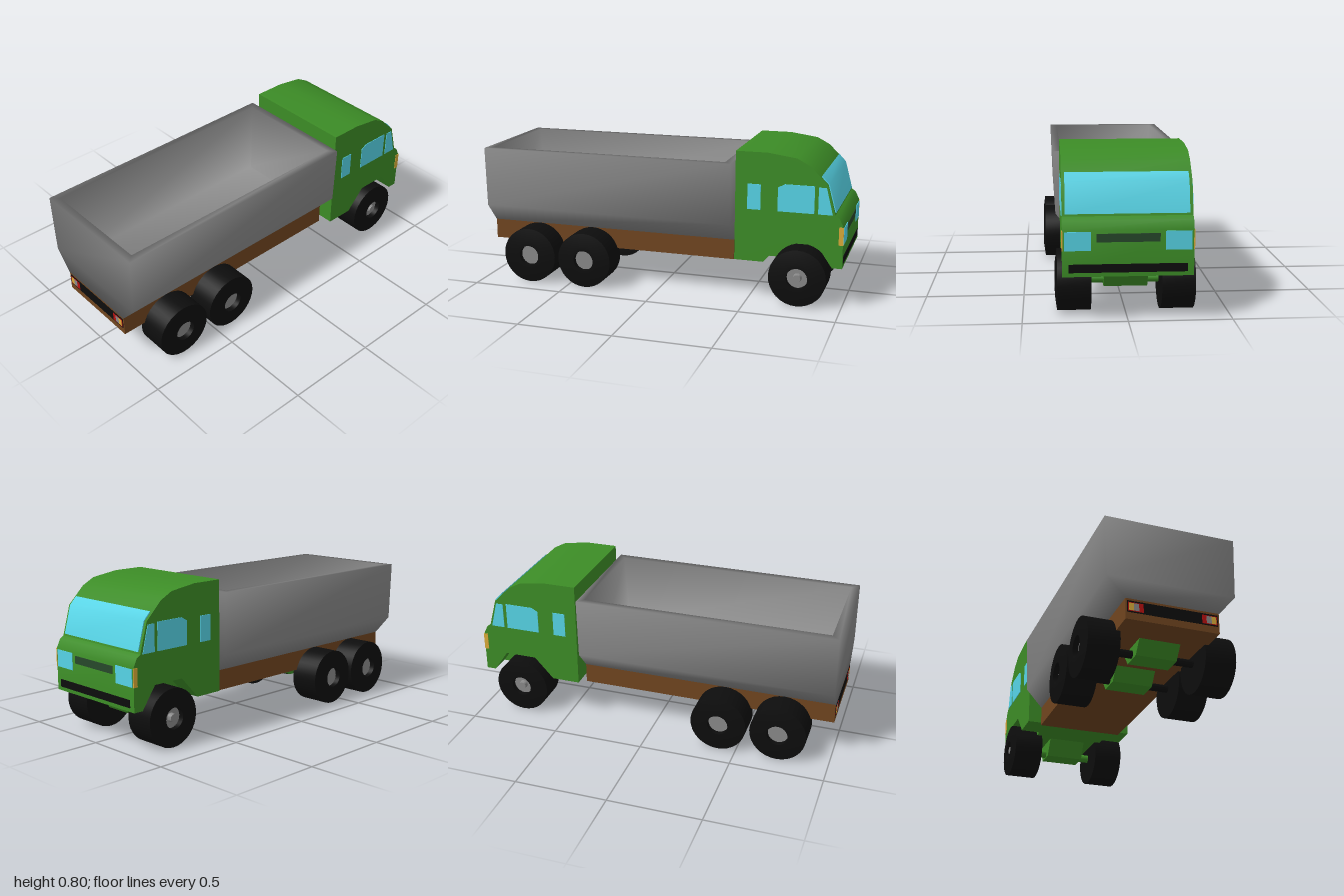
import * as THREE from 'three';
import { toCreasedNormals } from 'three/addons/utils/BufferGeometryUtils.js';

const material = (name, color) => Object.assign(new THREE.MeshStandardMaterial({ color }), { name });
const green = material('green paint', 0x3c8c26);
const grey = material('grey metal', 0x888888);
const brown = material('brown chassis', 0x70451f);
const black = material('black rubber', 0x0d0d0d);
const glass = material('cyan glass', 0x56d4e6);
const red = material('red lamp', 0xb81010);
const amber = material('amber lamp', 0xd8aa38);
const grilleGreen = material('dark grille', 0x27482a);

export function createModel() {
  const truck = new THREE.Group();
  truck.name = 'truck';

  const add = (name, geometry, mat, parent = truck) => {
    const mesh = new THREE.Mesh(geometry, mat);
    mesh.name = name;
    parent.add(mesh);
    return mesh;
  };
  // Box given by its limits
  const box = (name, mat, x0, x1, y0, y1, z0, z1) =>
    add(name, new THREE.BoxGeometry(x1 - x0, y1 - y0, z1 - z0), mat)
      .position.set((x0 + x1) / 2, (y0 + y1) / 2, (z0 + z1) / 2);
  // Side profile of [distance towards the nose, height], extruded across x
  const across = (name, mat, points, x0, x1) => {
    const shape = new THREE.Shape(points.map(p => new THREE.Vector2(...p)));
    const g = new THREE.ExtrudeGeometry(shape, { depth: x1 - x0, bevelEnabled: false });
    g.translate(0, 0, x0).rotateY(Math.PI / 2);
    return add(name, toCreasedNormals(g, 0.7), mat);
  };

  // Cab with wheel arches, and the core between the arches
  across('cab', green, [
    [0.43, 0.22], [0.585, 0.22], [0.69, 0.335], [0.865, 0.335], [0.945, 0.22], [0.997, 0.22],
    [0.997, 0.44], [0.975, 0.485], [0.953, 0.50], [0.91, 0.655], [0.82, 0.745], [0.75, 0.782],
    [0.60, 0.803], [0.43, 0.803],
  ], -0.31, 0.31);
  across('cabCore', green, [[0.58, 0.221], [0.95, 0.221], [0.87, 0.34], [0.68, 0.34]], -0.2, 0.2);

  // Windscreen wrapped over the bend of the nose
  across('windscreen', glass, [
    [0.872, 0.689], [0.908, 0.653], [0.949, 0.51], [0.955, 0.511], [0.915, 0.657], [0.876, 0.698],
  ], -0.295, 0.295);

  // Side windows, indicators and headlights, mirrored
  const windows = {
    rearWindow: [[0.495, 0.50], [0.565, 0.50], [0.565, 0.635], [0.495, 0.635]],
    doorWindow: [[0.655, 0.50], [0.845, 0.50], [0.845, 0.645], [0.69, 0.645], [0.655, 0.625]],
    quarterWindow: [[0.865, 0.50], [0.94, 0.50], [0.905, 0.64], [0.865, 0.64]],
  };
  for (const s of [-1, 1]) {
    const plate = [Math.min(s * 0.308, s * 0.313), Math.max(s * 0.308, s * 0.313)];
    for (const [name, points] of Object.entries(windows)) across(name, glass, points, ...plate);
    box('indicator', amber, ...plate, 0.345, 0.44, -0.999, -0.975);
    const lamp = [Math.min(s * 0.175, s * 0.3), Math.max(s * 0.175, s * 0.3)];
    box('headlight', glass, ...lamp, 0.345, 0.435, -1, -0.994);
  }
  box('grille', grilleGreen, -0.15, 0.15, 0.385, 0.425, -1, -0.994);
  box('frontBumper', black, -0.28, 0.28, 0.24, 0.28, -1, -0.994);

  // Chassis
  box('chassis', brown, -0.24, 0.24, 0.196, 0.306, -0.41, 0.996);

  // Cargo bucket: rectangular loops from the underside, over the rim, to the floor
  const loops = [ // half width, height, back z, front z
    [0.24, 0.305, -0.41, 0.998], [0.332, 0.41, -0.41, 0.998], [0.343, 0.738, -0.41, 0.998],
    [0.302, 0.738, -0.372, 0.957], [0.26, 0.36, -0.325, 0.91],
  ];
  const positions = [], index = [];
  loops.forEach(([w, y, z0, z1], i) => {
    positions.push(-w, y, z1, w, y, z1, w, y, z0, -w, y, z0);
    if (i === 0) return;
    for (let j = 0; j < 4; j++) {
      const a = (i - 1) * 4 + j, b = (i - 1) * 4 + (j + 1) % 4;
      index.push(a, b, b + 4, a, b + 4, a + 4);
    }
  });
  const last = (loops.length - 1) * 4;
  index.push(0, 2, 1, 0, 3, 2, last, last + 1, last + 2, last, last + 2, last + 3);
  const bucket = new THREE.BufferGeometry();
  bucket.setAttribute('position', new THREE.Float32BufferAttribute(positions, 3));
  bucket.setIndex(index);
  bucket.computeVertexNormals();
  add('cargoBucket', bucket, grey);

  // Tail panel with lamp clusters
  box('tailPanel', black, -0.232, 0.232, 0.233, 0.293, 0.993, 0.998);
  for (const s of [-1, 1]) {
    const lamp = (name, mat, a, b, y0, y1, z) =>
      box(name, mat, Math.min(s * a, s * b), Math.max(s * a, s * b), y0, y1, 0.995, z);
    lamp('tailLamp', red, 0.15, 0.228, 0.239, 0.285, 0.999);
    lamp('reverseLamp', grey, 0.173, 0.199, 0.243, 0.281, 1);
    lamp('turnLamp', amber, 0.199, 0.223, 0.243, 0.281, 1);
  }

  // Wheels: tyre, recessed hub disc and cap; local +x points outwards
  const toX = g => toCreasedNormals(g.rotateZ(-Math.PI / 2), 0.6);
  const tyre = toX(new THREE.LatheGeometry([
    [0, 0], [0.075, 0], [0.152, 0.004], [0.152, 0.167], [0.08, 0.177], [0.056, 0.177], [0.056, 0.14],
  ].map(p => new THREE.Vector2(...p)), 32));
  const hub = toX(new THREE.CylinderGeometry(0.056, 0.056, 0.02, 24));
  const cap = toX(new THREE.CylinderGeometry(0.02, 0.024, 0.025, 16));
  const axles = [['front', -0.77, 0.343], ['middle', 0.40, 0.393], ['rear', 0.725, 0.393]];
  for (const [name, z, outer] of axles) {
    for (const s of [-1, 1]) {
      const wheel = new THREE.Group();
      wheel.name = name + 'Wheel';
      add('tyre', tyre, black, wheel);
      add('hub', hub, grey, wheel).position.x = 0.138;
      if (name === 'front') add('hubCap', cap, grey, wheel).position.x = 0.158;
      wheel.position.set(s * (outer - 0.177), 0.153, z);
      if (s < 0) wheel.rotation.y = Math.PI;
      truck.add(wheel);
    }
    // Axle and its housing
    const isFront = name === 'front';
    const radius = isFront ? 0.023 : 0.02;
    add(name + 'Axle', toX(new THREE.CylinderGeometry(radius, radius, 0.51, 12)), isFront ? green : black)
      .position.set(0, 0.155, z);
    const top = isFront ? 0.225 : 0.2;
    across(name + 'AxleHousing', green,
      [[-z - 0.11, top], [-z - 0.055, 0.128], [-z + 0.055, 0.128], [-z + 0.11, top]], -0.107, 0.107);
  }
  return truck;
}
